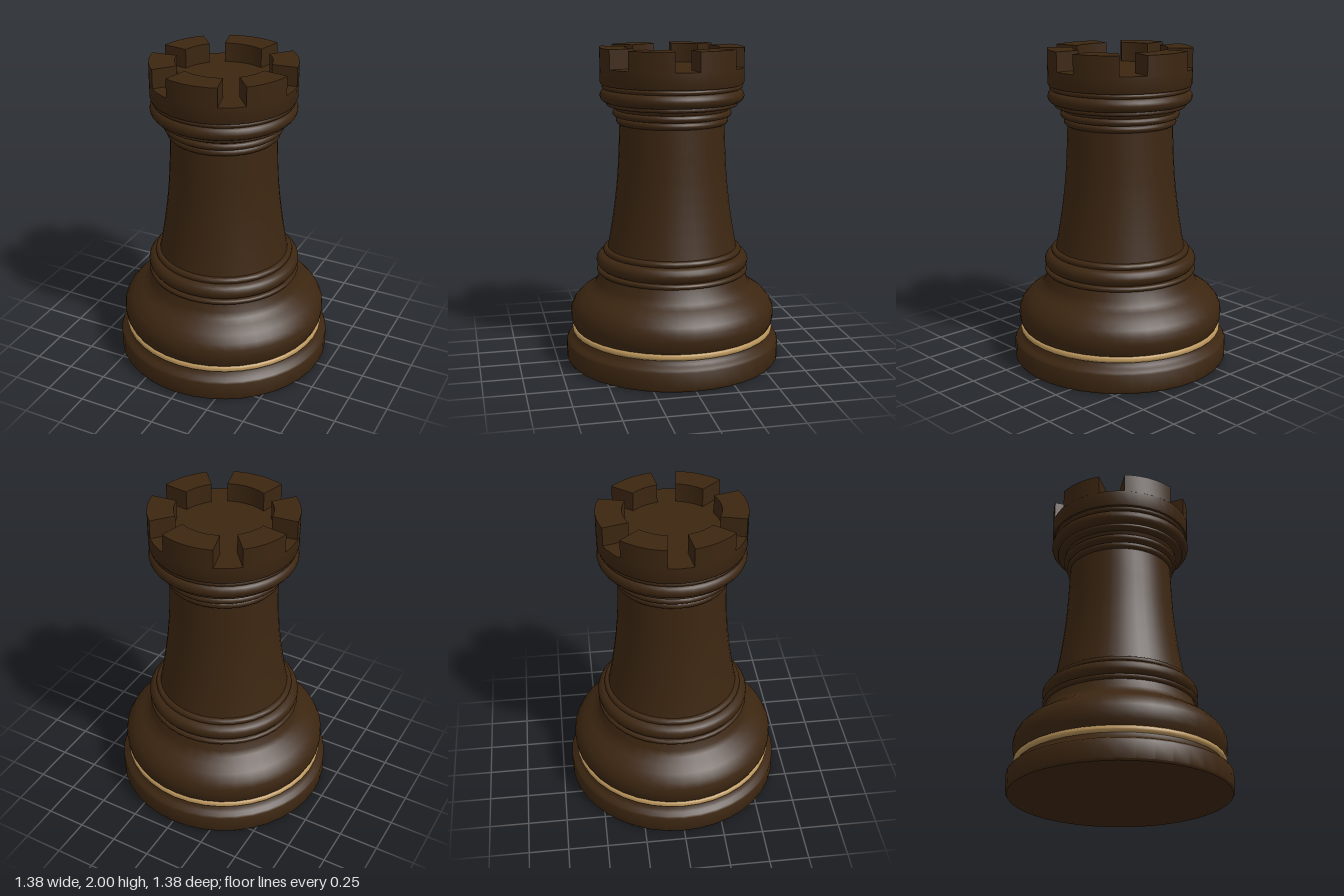
import * as THREE from 'three';
import { toCreasedNormals } from 'three/addons/utils/BufferGeometryUtils.js';

const SEGMENTS = 40;

export function createModel() {
  const model = new THREE.Group();
  model.name = 'rook';

  const darkWood = new THREE.MeshStandardMaterial({ color: 0x3c2611 });
  darkWood.name = 'darkWood';
  const gold = new THREE.MeshStandardMaterial({ color: 0xb8935a });
  gold.name = 'paleGold';

  function add(name, geometry, material = darkWood) {
    const mesh = new THREE.Mesh(toCreasedNormals(geometry, 0.6), material);
    mesh.name = name;
    model.add(mesh);
    return mesh;
  }

  // Turned part from [radius, height] pairs, listed bottom to top
  function turned(name, profile, material) {
    const points = profile.map(([r, y]) => new THREE.Vector2(r, y));
    return add(name, new THREE.LatheGeometry(points, SEGMENTS), material);
  }

  // Rounded ring that bulges out to radius r between two heights
  function ring(name, r, y0, y1, material) {
    const h = y1 - y0;
    const bulge = h * 0.5;
    const profile = [[r - bulge - 0.06, y0]];
    for (let i = 0; i <= 8; i++) {
      const a = -Math.PI / 2 + (Math.PI * i) / 8;
      profile.push([r - bulge + bulge * Math.cos(a), y0 + h / 2 + (h / 2) * Math.sin(a)]);
    }
    profile.push([r - bulge - 0.06, y1]);
    return turned(name, profile, material);
  }

  // Foot and swollen base
  turned('foot', [
    [0, 0], [0.68, 0], [0.688, 0.012], [0.688, 0.12], [0.68, 0.133],
    [0.655, 0.145], [0.64, 0.16], [0.63, 0.185], [0.6, 0.19],
  ]);
  ring('goldBand', 0.65, 0.18, 0.222, gold);
  turned('baseBulge', [
    [0.6, 0.215], [0.635, 0.22], [0.652, 0.255], [0.657, 0.3], [0.652, 0.345],
    [0.632, 0.385], [0.595, 0.425], [0.545, 0.46], [0.505, 0.485],
    [0.485, 0.52], [0.465, 0.575], [0.42, 0.59],
  ]);

  // Lower collar
  ring('lowerThinRing', 0.485, 0.572, 0.604);
  ring('lowerCollar', 0.487, 0.6, 0.7);
  ring('lowerTopRing', 0.443, 0.695, 0.735);

  // Tapered tower
  turned('tower', [
    [0.42, 0.7], [0.413, 0.735], [0.397, 0.82], [0.38, 0.92], [0.366, 1.02],
    [0.354, 1.12], [0.345, 1.22], [0.337, 1.36], [0.33, 1.54],
  ]);

  // Upper collar, stepping outward
  ring('neckRing', 0.352, 1.525, 1.57);
  ring('neckUpperRing', 0.373, 1.572, 1.615);
  turned('neckFlare', [[0.33, 1.6], [0.355, 1.615], [0.365, 1.64], [0.4, 1.655]]);
  ring('upperThinRing', 0.412, 1.638, 1.668);
  ring('upperCollar', 0.452, 1.662, 1.748);
  ring('crownSeat', 0.44, 1.745, 1.775);

  // Crown drum with a flat floor
  turned('crown', [[0.38, 1.77], [0.445, 1.775], [0.45, 1.785], [0.45, 1.88], [0, 1.88]]);

  // Six battlements, wider at the front and back
  function battlement(name, centre, outerHalf, innerHalf) {
    const rad = THREE.MathUtils.degToRad;
    const shape = new THREE.Shape();
    shape.absarc(0, 0, 0.45, rad(centre - outerHalf), rad(centre + outerHalf), false);
    shape.absarc(0, 0, 0.293, rad(centre + innerHalf), rad(centre - innerHalf), true);
    const geometry = new THREE.ExtrudeGeometry(shape, {
      depth: 0.125, bevelEnabled: false, curveSegments: 6,
    });
    geometry.rotateX(-Math.PI / 2).translate(0, 1.875, 0);
    add(name, geometry);
  }
  for (const [side, centre] of [['back', 90], ['front', 270]]) {
    battlement(side + 'Battlement', centre, 21.5, 25);
  }
  for (const centre of [28.5, 151.5, 208.5, 331.5]) {
    battlement('sideBattlement', centre, 18.8, 17.5);
  }

  return model;
}
